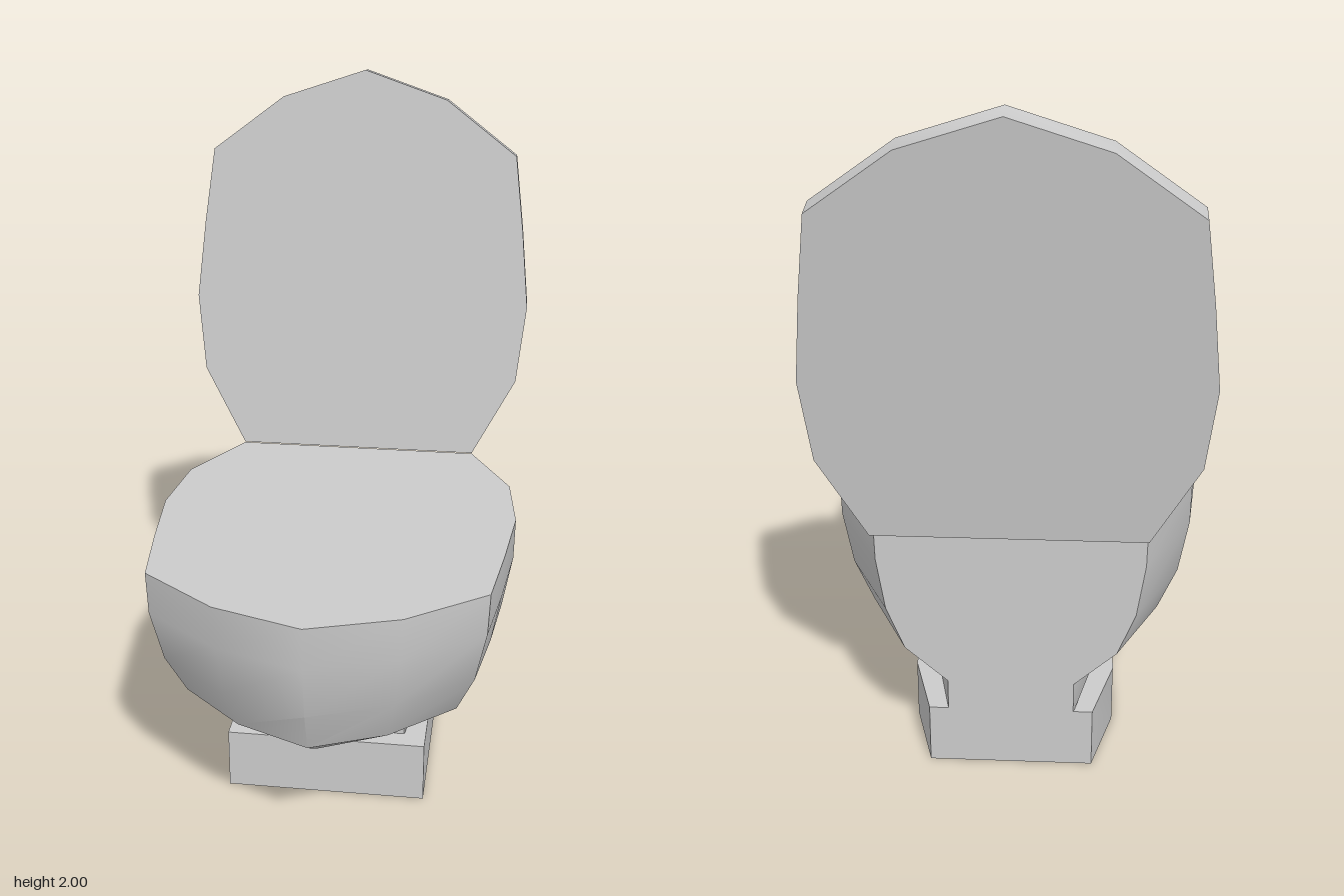
import * as THREE from 'three';
import { toCreasedNormals } from 'three/addons/utils/BufferGeometryUtils.js';

const BACK = -0.485;
const CREASE = 0.73;
const material = new THREE.MeshStandardMaterial({ color: 0xcccccc });

// Half outlines [x, z] from the front tip round the left side to the back.
const rim = [[0, 0.72], [0.255, 0.635], [0.475, 0.47], [0.505, 0.24], [0.53, 0], [0.505, -0.24], [0.375, BACK]];
const levels = [
  { y: 0.18, half: [[0, 0.23], [0.115, 0.23], [0.23, 0.23], [0.23, 0.1], [0.23, -0.03], [0.23, -0.26], [0.18, BACK]] },
  { y: 0.28, half: [[0, 0.48], [0.13, 0.38], [0.23, 0.23], [0.27, 0.12], [0.285, -0.02], [0.265, -0.25], [0.18, BACK]] },
  { y: 0.39, half: [[0, 0.64], [0.21, 0.55], [0.39, 0.39], [0.425, 0.2], [0.445, 0], [0.42, -0.24], [0.3, BACK]] },
  { y: 0.52, half: [[0, 0.69], [0.235, 0.6], [0.44, 0.44], [0.475, 0.22], [0.5, 0], [0.475, -0.24], [0.35, BACK]] },
  { y: 0.68, half: [[0, 0.72], [0.25, 0.633], [0.47, 0.47], [0.502, 0.24], [0.528, 0], [0.503, -0.24], [0.373, BACK]] },
  { y: 0.805, half: rim },
];

// Full closed outline from a half, mirrored across x.
function mirrored(half) {
  const other = half.filter(([x]) => x > 0).reverse().map(([x, z]) => [-x, z]);
  return [...half, ...other];
}

function mesh(name, geometry) {
  const m = new THREE.Mesh(geometry, material);
  m.name = name;
  return m;
}

// Walls lofted through the levels, with an optional flat top.
function loft(sections, capped) {
  const rings = sections.map(({ y, half }) => mirrored(half).map(([x, z]) => [x, y, z]));
  const pos = [];
  const tri = (...points) => points.forEach((p) => pos.push(...p));
  for (let k = 0; k < rings.length - 1; k++) {
    const lo = rings[k], hi = rings[k + 1];
    for (let i = 0; i < lo.length; i++) {
      const j = (i + 1) % lo.length;
      tri(lo[i], lo[j], hi[j]);
      tri(lo[i], hi[j], hi[i]);
    }
  }
  if (capped) {
    const top = rings[rings.length - 1];
    for (let i = 1; i < top.length - 1; i++) tri(top[0], top[i], top[i + 1]);
  }
  const geometry = new THREE.BufferGeometry();
  geometry.setAttribute('position', new THREE.Float32BufferAttribute(pos, 3));
  return toCreasedNormals(geometry, CREASE);
}

function slab(points, depth) {
  const shape = new THREE.Shape(points.map(([x, y]) => new THREE.Vector2(x, y)));
  return toCreasedNormals(new THREE.ExtrudeGeometry(shape, { depth, bevelEnabled: false }), CREASE);
}

export function createModel() {
  const group = new THREE.Group();

  // Foot: a block narrowing towards the back
  const foot = slab(mirrored([[0.295, 0.29], [0.295, -0.27], [0.235, BACK]]).map(([x, z]) => [x, -z]), 0.185);
  foot.rotateX(-Math.PI / 2);
  group.add(mesh('foot', foot));

  // Bowl in three bands, with hard edges between them
  group.add(mesh('neck', loft(levels.slice(0, 2), false)));
  group.add(mesh('bowlUnderside', loft(levels.slice(1, 3), false)));
  group.add(mesh('bowl', loft(levels.slice(2), true)));

  // Lid: the rim outline, hinged at the back and leaning backwards
  const lidGeometry = slab(mirrored(rim).map(([x, z]) => [x, z - BACK]), 0.07);
  lidGeometry.translate(0, 0, -0.07);
  const lid = mesh('lid', lidGeometry);
  lid.rotation.x = -0.133;
  lid.position.set(0, 0.807, BACK);
  group.add(lid);

  return group;
}
